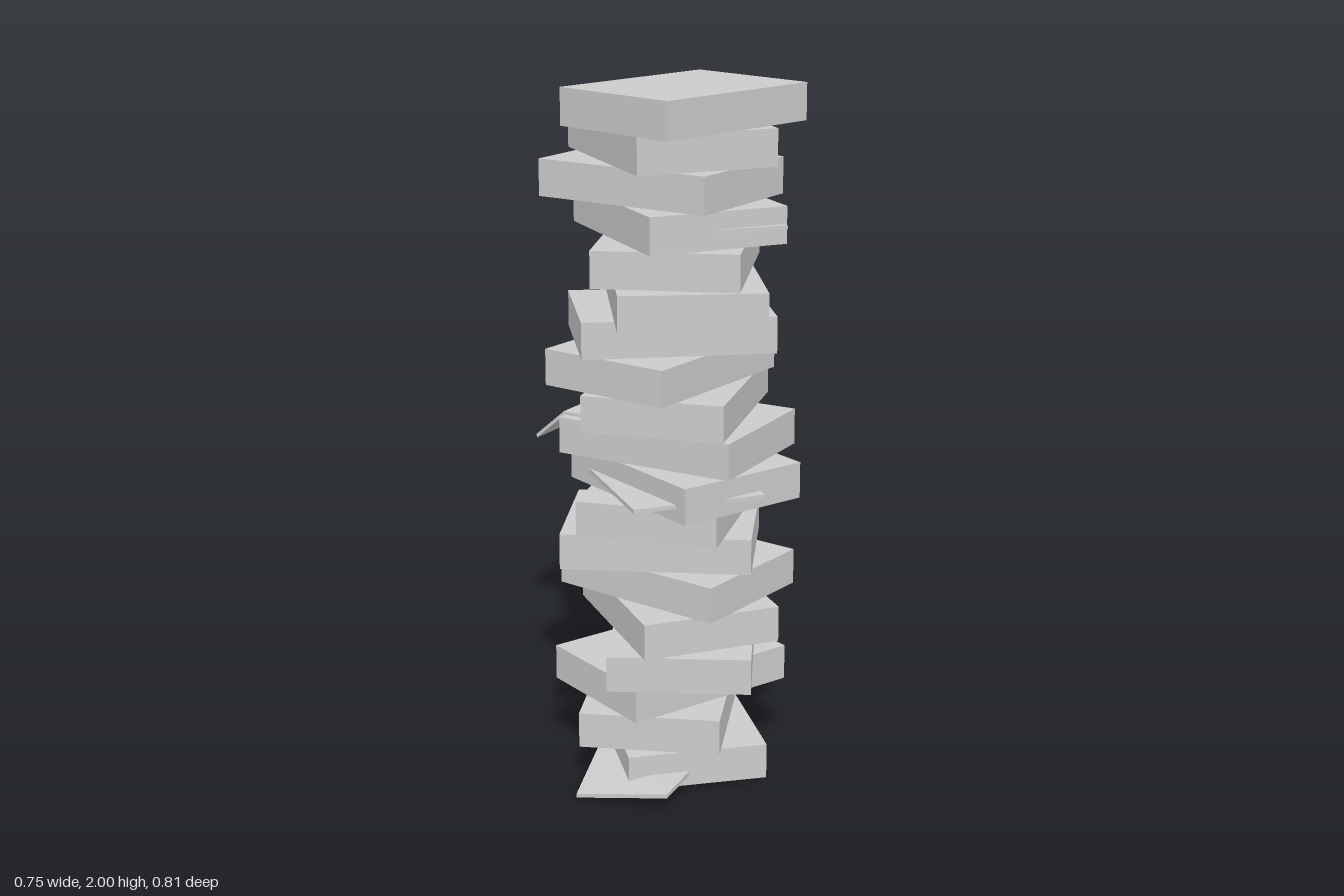
import * as THREE from 'three';

const LENGTH = 0.547, WIDTH = 0.409, BASE = 0.008, PITCH = (2 - BASE) / 19, THICK = 0.012;
const material = new THREE.MeshStandardMaterial({ color: 0xcccccc, flatShading: true });
const sheetMaterial = new THREE.MeshStandardMaterial({ color: 0xcccccc, flatShading: true, side: THREE.DoubleSide });

// Thin sheet: a clockwise or anticlockwise loop of [x, y, z] top corners, given thickness downwards
function sheet(name, loop) {
  const n = loop.length, index = [];
  const low = loop.map(([x, y, z]) => [x, y - THICK, z]);
  const a = loop[0], b = loop[1], c = loop[2];
  const facesUp = (b[2] - a[2]) * (c[0] - a[0]) - (b[0] - a[0]) * (c[2] - a[2]) > 0;
  const tri = (i, j, k) => index.push(...(facesUp ? [i, j, k] : [i, k, j]));
  for (let i = 1; i < n - 1; i++) {
    tri(0, i, i + 1);
    tri(n, n + i + 1, n + i);
  }
  for (let i = 0; i < n; i++) {
    const j = (i + 1) % n;
    tri(i, n + i, n + j);
    tri(i, n + j, j);
  }
  const geometry = new THREE.BufferGeometry();
  geometry.setAttribute('position', new THREE.Float32BufferAttribute([...loop, ...low].flat(), 3));
  geometry.setIndex(index);
  const flat = geometry.toNonIndexed();
  flat.computeVertexNormals();
  const mesh = new THREE.Mesh(flat, sheetMaterial);
  mesh.name = name;
  return mesh;
}

export function createModel() {
  const model = new THREE.Group();
  model.name = 'slabStack';

  // Slabs from top to bottom: turn in degrees, with offsets repeating every five
  const turns = [71.9, -41.6, -7, -39.5, -71.3, -58.8, 34, 80, -79, -3,
    -26.7, -78.3, 21, -11.2, -42.8, -67, 63, -71.4, -51];
  const offsets = [[0.038, 0.019], [-0.033, -0.035], [-0.048, -0.011], [-0.005, -0.025], [0.003, -0.012]];
  const slabGeometry = new THREE.BoxGeometry(LENGTH, PITCH, WIDTH);
  turns.forEach((turn, i) => {
    const [x, z] = offsets[i % 5];
    const slab = new THREE.Mesh(slabGeometry, material);
    slab.name = `slab${i + 1}`;
    slab.position.set(x, 2 - (i + 0.5) * PITCH, z);
    slab.rotation.y = THREE.MathUtils.degToRad(turn);
    model.add(slab);
  });

  // Upper sheet with a drooping flap at the back
  const upper = 1.636;
  model.add(sheet('upperSheet', [
    [0.347, upper, 0.012], [-0.016, upper, -0.351], [-0.278, upper, -0.09], [0.085, upper, 0.273]]));
  model.add(sheet('upperSheetFlap', [
    [-0.05, upper, -0.345], [0.04, 1.588, -0.408], [0.23, 1.626, -0.2], [0.27, upper, -0.07]]));

  // Middle sheet folded down over the side of its slab
  const middle = 1.066;
  model.add(sheet('middleSheet', [
    [-0.283, middle, 0.147], [0.14, middle, 0.18], [0.165, middle, -0.19], [-0.255, middle, -0.223]]));
  model.add(sheet('middleSheetFlap', [
    [-0.283, middle, 0.147], [-0.255, middle, -0.223], [-0.35, 0.984, -0.23], [-0.378, 0.984, 0.14]]));

  // Flat sheet whose corners stick out
  const flat = 0.896;
  model.add(sheet('flatSheet', [
    [0.07, flat, 0.395], [0.335, flat, 0.115], [-0.05, flat, -0.255], [-0.315, flat, 0.025]]));

  // Bottom sheet with one corner bent to the ground
  const low = 0.052;
  model.add(sheet('bottomSheet', [
    [0.156, low, 0.367], [-0.115, THICK, 0.405], [-0.215, low, 0.02], [-0.2, low, -0.17], [0.128, low, -0.175]]));

  return model;
}
